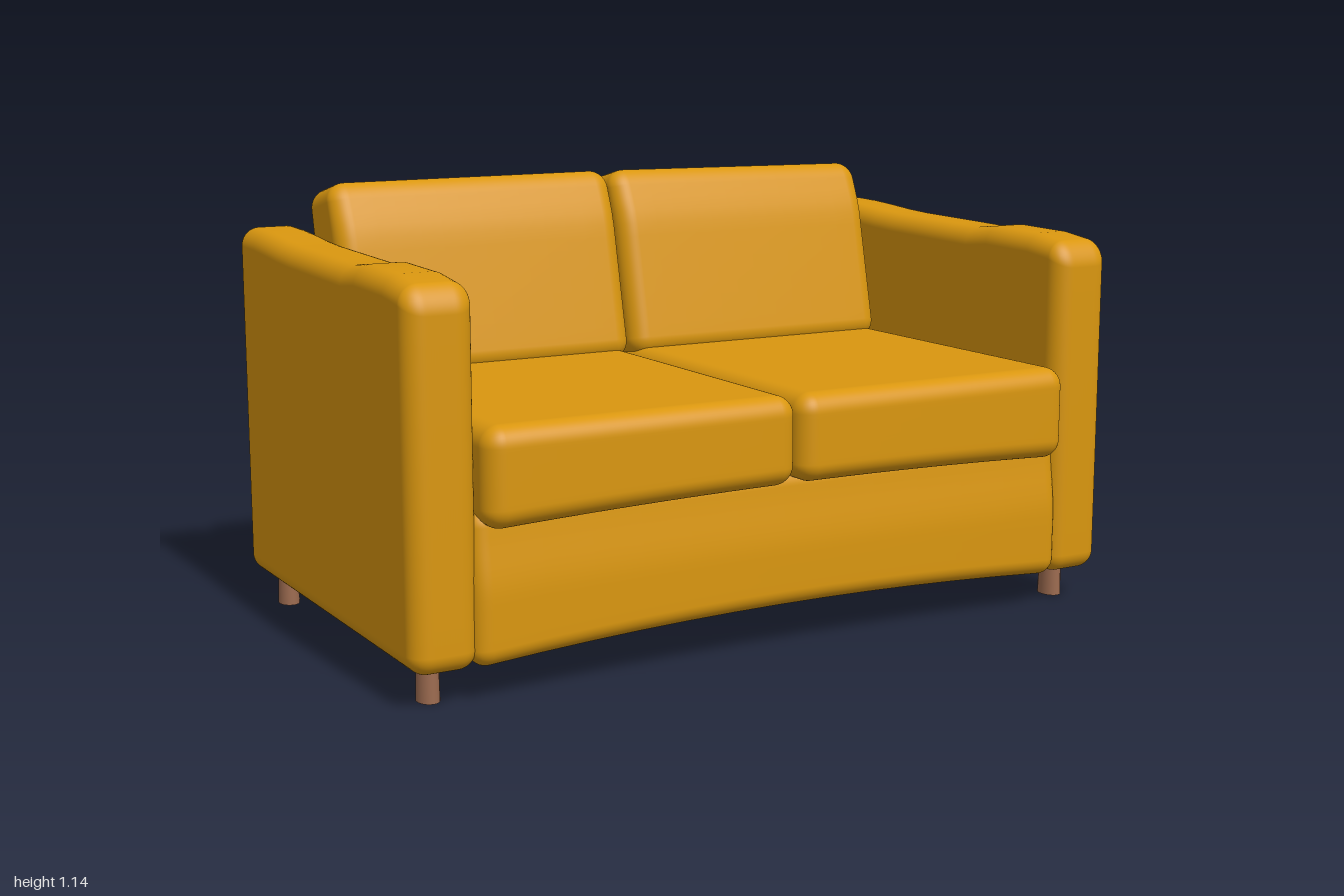
import * as THREE from 'three';
import { mergeVertices } from 'three/addons/utils/BufferGeometryUtils.js';

const smooth = (a, b, v) => THREE.MathUtils.smoothstep(v, a, b);

// Rounded block between two corners, with an optional rule that bends its vertices
function softBlock(min, max, r, warp) {
  const N = 24, C = 6; // C of the N segments on each side lie in the rounded edge
  const size = max.map((v, i) => v - min[i]);
  const mid = max.map((v, i) => (v + min[i]) / 2);
  let g = new THREE.BoxGeometry(1, 1, 1, N, N, N);
  g.deleteAttribute('normal');
  g.deleteAttribute('uv');
  g = mergeVertices(g);
  const pos = g.attributes.position;
  const p = new THREE.Vector3(), inner = new THREE.Vector3();
  const spread = (t, half) => {
    const k = Math.round((t + 0.5) * N);
    if (k <= C) return -half + r * (1 - Math.tan((1 - k / C) * Math.PI / 4));
    if (k >= N - C) return half - r * (1 - Math.tan((1 - (N - k) / C) * Math.PI / 4));
    return (-half + r) + (2 * half - 2 * r) * (k - C) / (N - 2 * C);
  };
  for (let i = 0; i < pos.count; i++) {
    p.fromBufferAttribute(pos, i);
    ['x', 'y', 'z'].forEach((a, j) => {
      const h = size[j] / 2, t = p[a];
      // the outermost rows sit exactly on the block's faces
      p[a] = Math.abs(t) > 0.4999 ? Math.sign(t) * h : spread(t, h) + 0;
      if (Math.abs(t) <= 0.4999 && Math.abs(p[a]) > h - r) {
        const k = Math.round((Math.abs(t) * N)) - (N / 2 - C);
        p[a] = Math.sign(t) * (h - r + r * Math.tan((k / C) * Math.PI / 4));
      }
      inner[a] = THREE.MathUtils.clamp(p[a], -h + r, h - r);
    });
    p.sub(inner).setLength(r).add(inner);
    p.set(p.x + mid[0], p.y + mid[1], p.z + mid[2]);
    if (warp) warp(p);
    pos.setXYZ(i, p.x, p.y, p.z);
  }
  g.computeVertexNormals();
  return g;
}

export function createModel() {
  const sofa = new THREE.Group();
  sofa.name = 'sofa';
  const fabric = new THREE.MeshStandardMaterial({ color: 0xd9960f });
  fabric.name = 'mustard fabric';
  const wood = new THREE.MeshStandardMaterial({ color: 0x9c6b50 });
  wood.name = 'brown wood';

  const add = (name, geometry, material = fabric) => {
    const mesh = new THREE.Mesh(geometry, material);
    mesh.name = name;
    sofa.add(mesh);
    return mesh;
  };

  // Base: arched lower edge and slightly hollow front
  add('base', softBlock([-0.85, 0.085, -0.58], [0.85, 0.46, 0.56], 0.045, (p) => {
    const arch = 1 - Math.min(1, (p.x / 0.84) ** 2);
    p.y += 0.025 * arch * (1 - smooth(0.1, 0.4, p.y));
    p.z -= (0.025 * arch + 0.02 * smooth(0.25, 0.45, p.y)) * smooth(0, 0.5, p.z);
  }));

  // Back frame
  add('backFrame', softBlock([-0.86, 0.088, -0.598], [0.86, 0.975, -0.42], 0.035));

  for (const side of [-1, 1]) {
    const label = side > 0 ? 'left' : 'right';
    const span = (a, b) => (side > 0 ? [a, b] : [-b, -a]);

    // Arm: top rises gently to the back, front corner falls away
    const [a0, a1] = span(0.83, 1);
    add(label + 'Arm', softBlock([a0, 0.085, -0.6], [a1, 1, 0.55], 0.048, (p) => {
      const up = smooth(0.5, 0.95, p.y);
      p.y -= up * (0.025 * (0.55 - (0.55 - p.z)) / 1.1 + 0.012);
      p.y += up * 0.012 * smooth(0.2, -0.5, p.z) + up * 0.012 * (p.z < -0.2 ? smooth(0.2, 0.5, -p.z) : 0);
      p.y -= up * 0.03 * Math.max(0, (p.z - 0.44) / 0.11) ** 2;
    }));

    // Seat cushion: underside follows the arch of the base
    const [s0, s1] = span(0.002, 0.832);
    add(label + 'SeatCushion', softBlock([s0, 0.412, -0.4], [s1, 0.655, 0.597], 0.05, (p) => {
      const arch = 1 - (p.x / 0.84) ** 2;
      p.y += 0.02 * arch * (1 - smooth(0.42, 0.6, p.y));
    }));

    // Back cushion: leans back, thinner towards the top
    const [b0, b1] = span(0.003, 0.822);
    const cushion = add(label + 'BackCushion', softBlock([b0, -0.26, -0.11], [b1, 0.26, 0.11], 0.05, (p) => {
      if (p.z > 0) p.z -= p.z * 0.25 * smooth(0.1, 0.27, p.y);
      p.y += 0.006 * (1 - Math.abs(p.x) / 0.82) * smooth(0, 0.25, p.y);
    }));
    cushion.position.set(0, 0.867, -0.4);
    cushion.rotation.x = -0.22;

    // Oval tapered legs
    for (const [end, z] of [['Front', 0.44], ['Rear', -0.508]]) {
      const leg = add(label + end + 'Leg', new THREE.CylinderGeometry(0.033, 0.036, 0.11, 24), wood);
      leg.scale.x = 0.76;
      leg.position.set(side * 0.922, 0.055, z);
    }
  }
  return sofa;
}
